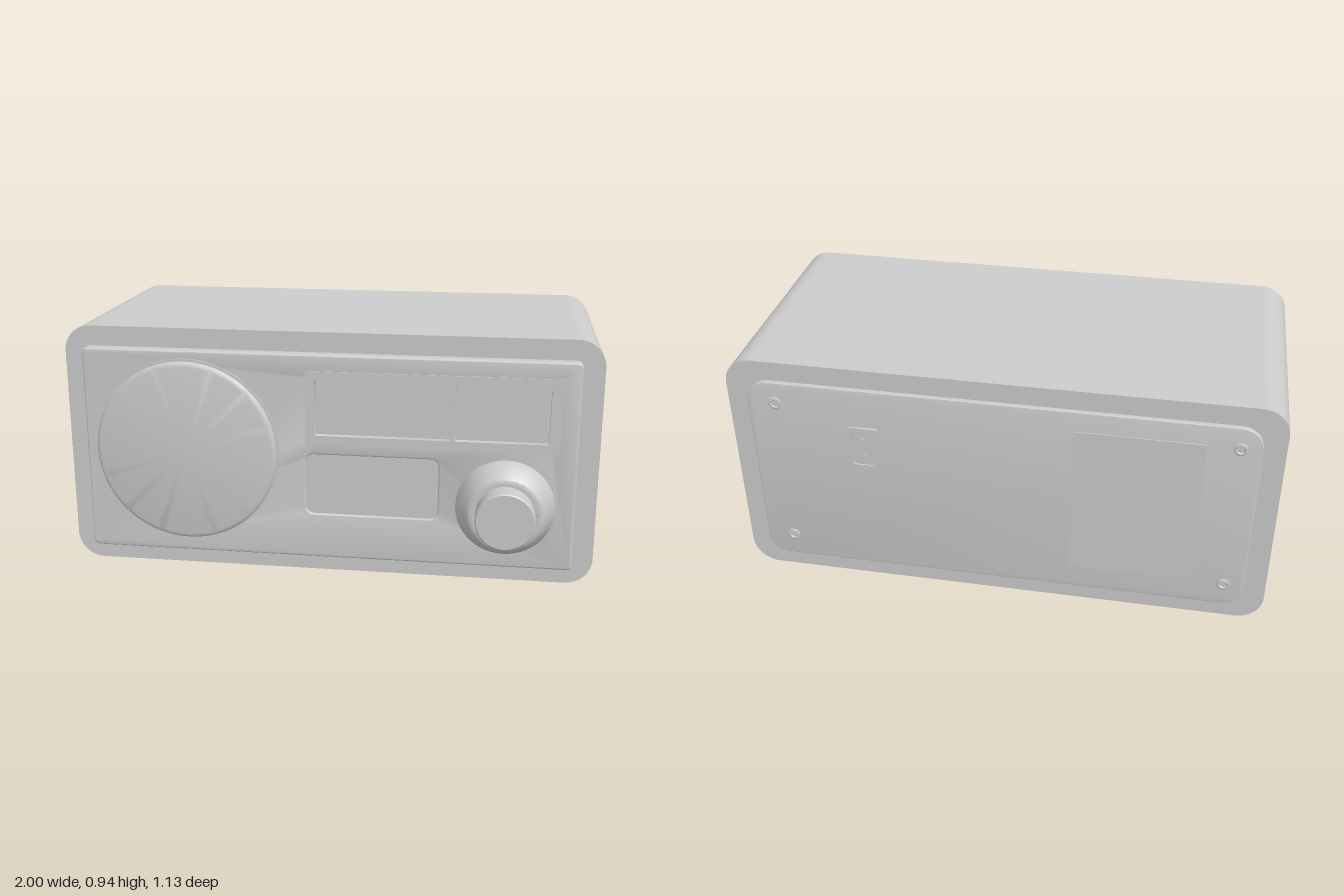
import * as THREE from 'three';
import { toCreasedNormals } from 'three/addons/utils/BufferGeometryUtils.js';

const material = new THREE.MeshStandardMaterial({ color: 0xcccccc });

// Rounded rectangle outline from its edges
function roundRect(x0, x1, y0, y1, r, Type = THREE.Shape) {
  const s = new Type();
  s.moveTo(x0 + r, y0);
  s.lineTo(x1 - r, y0);
  s.absarc(x1 - r, y0 + r, r, -Math.PI / 2, 0);
  s.lineTo(x1, y1 - r);
  s.absarc(x1 - r, y1 - r, r, 0, Math.PI / 2);
  s.lineTo(x0 + r, y1);
  s.absarc(x0 + r, y1 - r, r, Math.PI / 2, Math.PI);
  s.lineTo(x0, y0 + r);
  s.absarc(x0 + r, y0 + r, r, Math.PI, Math.PI * 1.5);
  return s;
}

export function createModel() {
  const group = new THREE.Group();

  const add = (name, geometry) => {
    const mesh = new THREE.Mesh(geometry, material);
    mesh.name = name;
    group.add(mesh);
    return mesh;
  };

  // Plate between two z values, optionally with bevelled edges
  const plate = (name, shape, z0, z1, bevel = 0) => {
    const g = new THREE.ExtrudeGeometry(shape, {
      depth: z1 - z0 - 2 * bevel, curveSegments: 12, bevelEnabled: bevel > 0,
      bevelThickness: bevel, bevelSize: bevel, bevelOffset: -bevel, bevelSegments: 3,
    });
    g.translate(0, 0, z0 + bevel);
    return add(name, toCreasedNormals(g, 0.6));
  };

  // Turned part: profile of [radius, height], axis along z (dir -1 faces the back)
  const turned = (name, profile, x, y, z, dir = 1, segments = 64) => {
    const g = new THREE.LatheGeometry(profile.map(([r, h]) => new THREE.Vector2(r, h)), segments);
    g.rotateX(dir * Math.PI / 2);
    const mesh = add(name, toCreasedNormals(g, 0.6));
    mesh.position.set(x, y, z);
    return mesh;
  };

  // Cabinet
  plate('cabinet', roundRect(-1, 1, 0, 0.935, 0.1), -0.54, 0.365);

  // Front panel with openings for the display windows and the button area
  const windows = [[-0.04, 0.46, 0.555, 0.77], [0.475, 0.815, 0.555, 0.77]];
  const front = roundRect(-0.92, 0.92, 0.07, 0.86, 0.02);
  for (const w of windows) front.holes.push(roundRect(...w, 0.004, THREE.Path));
  front.holes.push(roundRect(-0.075, 0.42, 0.245, 0.48, 0.03, THREE.Path));
  plate('frontPanel', front, 0.36, 0.41, 0.006);
  plate('displayGlass', roundRect(-0.06, 0.83, 0.54, 0.785, 0.004), 0.36, 0.39);
  plate('buttonPad', roundRect(-0.085, 0.43, 0.235, 0.49, 0.03), 0.36, 0.401);

  // Display frame
  const frame = roundRect(-0.075, 0.855, 0.52, 0.8, 0.006);
  for (const w of windows) frame.holes.push(roundRect(...w, 0.004, THREE.Path));
  plate('displayFrame', frame, 0.4, 0.414);

  // Round speaker cover with a softened rim
  turned('speakerCover', [
    [0.355, 0], [0.355, 0.007], [0.346, 0.007], [0.346, 0.014], [0.343, 0.02],
    [0.337, 0.024], [0.328, 0.026], [0, 0.026],
  ], -0.53, 0.475, 0.409, 1, 96);

  // Tuning knob: flared base and cylindrical grip
  turned('knobBase', [
    [0.182, 0], [0.182, 0.008], [0.137, 0.084], [0.134, 0.086], [0.117, 0.086],
    [0.117, 0.076], [0.1, 0.076],
  ], 0.667, 0.308, 0.409);
  turned('knobGrip', [
    [0.107, 0], [0.107, 0.084], [0.103, 0.088], [0, 0.088],
  ], 0.667, 0.308, 0.477);

  // Back panel and battery cover
  plate('backPanel', roundRect(-0.92, 0.92, 0.07, 0.86, 0.08), -0.556, -0.53, 0.003);
  plate('batteryCover', roundRect(-0.73, -0.27, 0.17, 0.78, 0.003), -0.56, -0.55);

  // Socket plate with a raised rim and two small pins
  const rim = roundRect(0.44, 0.55, 0.53, 0.705, 0.006);
  rim.holes.push(roundRect(0.455, 0.535, 0.545, 0.69, 0.004, THREE.Path));
  plate('socketRim', rim, -0.566, -0.55);
  plate('socketPlate', roundRect(0.45, 0.54, 0.54, 0.695, 0.004), -0.56, -0.55);
  for (const y of [0.585, 0.65]) {
    turned('socketPin', [[0.009, 0], [0.009, 0.005], [0, 0.005]], 0.495, y, -0.559, -1, 16);
  }

  // Corner screws with dished heads
  for (const x of [-0.845, 0.815]) {
    for (const y of [0.165, 0.775]) {
      turned('screw', [
        [0.025, 0], [0.025, 0.005], [0.022, 0.007], [0.016, 0.007], [0.013, 0.003], [0, 0.003],
      ], x, y, -0.555, -1, 24);
    }
  }

  return group;
}
